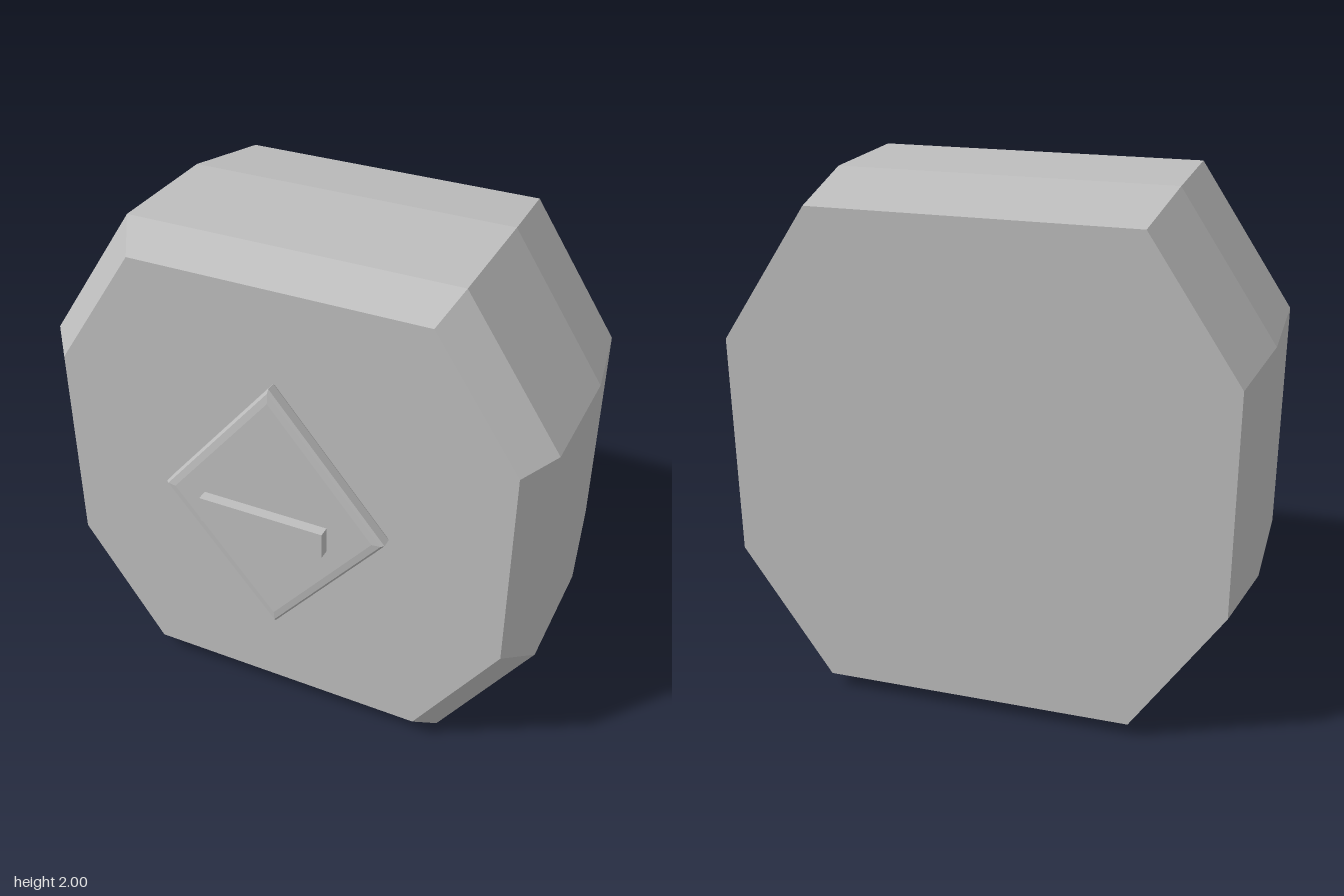
import * as THREE from 'three';

const grey = new THREE.MeshStandardMaterial({ color: 0xbebebe });
grey.name = 'plain grey';

// Closed solid skinned over rings of [x, y, z] points, back to front,
// each ring counter-clockwise as seen from +z.
function loft(rings) {
  const pos = [];
  const tri = (a, b, c) => pos.push(...a, ...b, ...c);
  const n = rings[0].length;
  for (let i = 0; i < rings.length - 1; i++) {
    for (let j = 0; j < n; j++) {
      const k = (j + 1) % n;
      const a = rings[i][j], b = rings[i][k], c = rings[i + 1][k], d = rings[i + 1][j];
      tri(a, b, c);
      tri(a, c, d);
    }
  }
  // End caps
  const back = rings[0], front = rings[rings.length - 1];
  for (let j = 1; j < n - 1; j++) {
    tri(back[0], back[j + 1], back[j]);
    tri(front[0], front[j], front[j + 1]);
  }
  const g = new THREE.BufferGeometry();
  g.setAttribute('position', new THREE.Float32BufferAttribute(pos, 3));
  g.computeVertexNormals();
  return g;
}

// Octagon with half sizes w, h, whose flat top ends at tx and flat side at sy
const octagon = (w, h, tx, sy, z) => [
  [w, -sy], [w, sy], [tx, h], [-tx, h], [-w, sy], [-w, -sy], [-tx, -h], [tx, -h],
].map(([x, y]) => [x, y, z]);

const diamond = (s, z) => [[0.452 * s, 0, z], [0, 0.542 * s, z], [-0.452 * s, 0, z], [0, -0.542 * s, z]];

export function createModel() {
  const model = new THREE.Group();
  model.name = 'octagonalBox';
  const add = (name, geometry, y, z = 0) => {
    const mesh = new THREE.Mesh(geometry, grey);
    mesh.name = name;
    mesh.position.set(0, y, z);
    model.add(mesh);
  };

  // Body: tapered rear, straight middle, chamfered front
  add('body', loft([
    octagon(0.938, 0.938, 0.597, 0.427, -0.575),
    octagon(1, 1, 0.636, 0.455, -0.18),
    octagon(1, 1, 0.636, 0.455, 0.305),
    octagon(0.903, 0.9, 0.575, 0.41, 0.425),
  ]), 1);

  // Diamond plate with rounded rim
  add('diamondPlate', loft([
    diamond(0.96, 0.42),
    diamond(1, 0.44),
    diamond(1, 0.477),
    diamond(0.975, 0.487),
    diamond(0.9, 0.491),
  ]), 1.003);

  // Bar floating in front of the plate
  add('frontBar', new THREE.BoxGeometry(0.5, 0.105, 0.042), 1.003, 0.555);

  return model;
}
